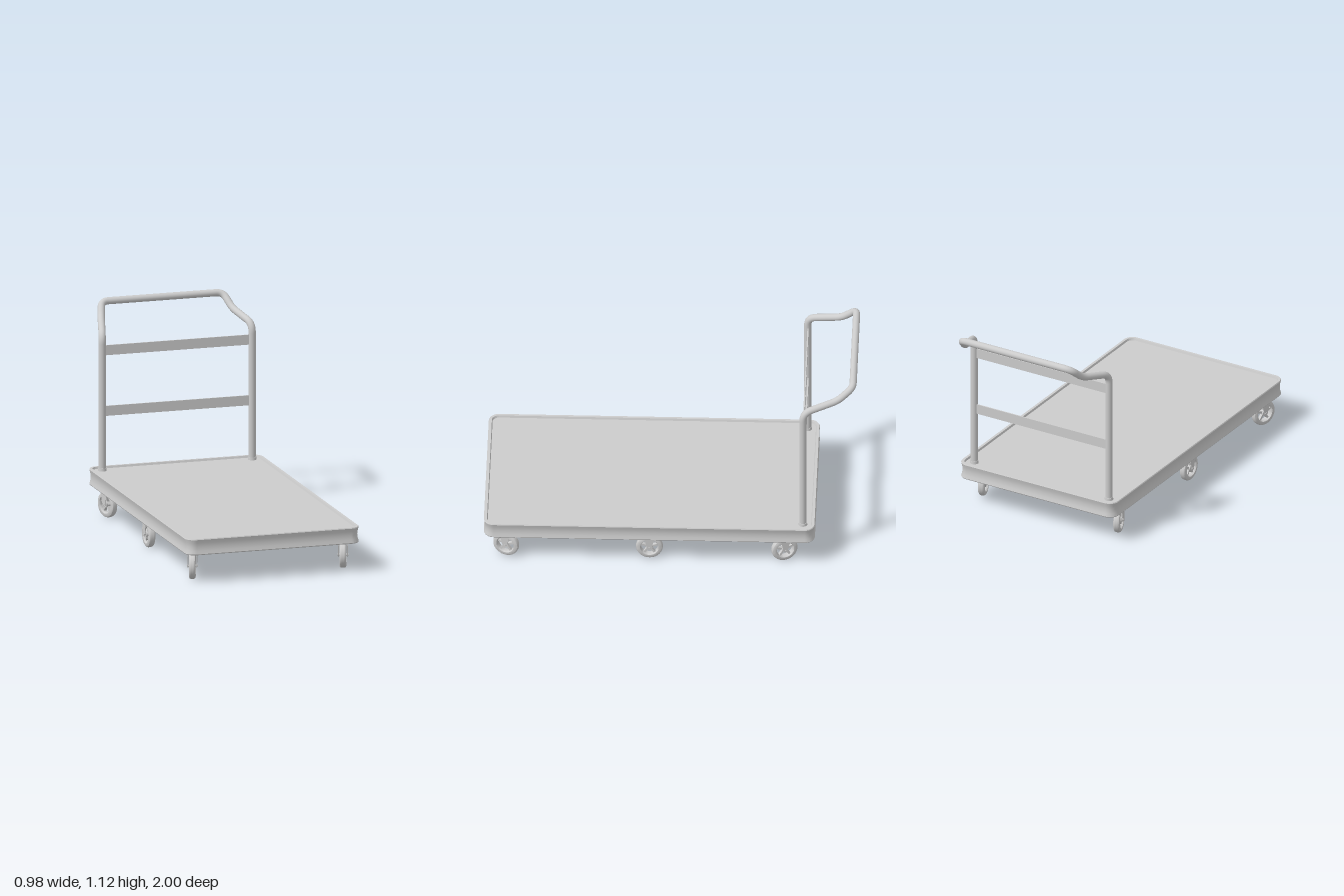
import * as THREE from 'three';
import { toCreasedNormals } from 'three/addons/utils/BufferGeometryUtils.js';

const grey = new THREE.MeshStandardMaterial({ color: 0xcccccc });

function mesh(name, geometry, x = 0, y = 0, z = 0) {
  const m = new THREE.Mesh(geometry, grey);
  m.name = name;
  m.position.set(x, y, z);
  return m;
}

// Rounded-rectangle loops stacked along a profile of [inset, y], capped at both ends
function deckGeometry(halfX, halfZ, radius, profile) {
  const steps = 10, ring = 4 * (steps + 1), pos = [], idx = [];
  for (const [inset, y] of profile) {
    for (let c = 0; c < 4; c++) {
      const cx = (c === 0 || c === 3 ? 1 : -1) * (halfX - radius);
      const cz = (c < 2 ? 1 : -1) * (halfZ - radius);
      for (let s = 0; s <= steps; s++) {
        const t = (c + s / steps) * Math.PI / 2;
        pos.push(cx + (radius - inset) * Math.cos(t), y, cz + (radius - inset) * Math.sin(t));
      }
    }
  }
  const last = profile.length - 1, bottom = profile.length * ring, top = bottom + 1;
  pos.push(0, profile[0][1], 0, 0, profile[last][1], 0);
  for (let i = 0; i < ring; i++) {
    const j = (i + 1) % ring;
    for (let r = 0; r < last; r++) {
      const a = r * ring + i, b = r * ring + j;
      idx.push(a, a + ring, b, b, a + ring, b + ring);
    }
    idx.push(bottom, i, j, top, last * ring + j, last * ring + i);
  }
  const g = new THREE.BufferGeometry();
  g.setAttribute('position', new THREE.Float32BufferAttribute(pos, 3));
  g.setIndex(idx);
  return toCreasedNormals(g, 0.6);
}

// Polyline with rounded corners
function roundedPath(points, radii) {
  const path = new THREE.CurvePath();
  let from = points[0];
  for (let i = 1; i < points.length - 1; i++) {
    const p = points[i], r = radii[i - 1];
    const a = p.clone().add(points[i - 1].clone().sub(p).setLength(r));
    const b = p.clone().add(points[i + 1].clone().sub(p).setLength(r));
    path.add(new THREE.LineCurve3(from, a));
    path.add(new THREE.QuadraticBezierCurve3(a, p, b));
    from = b;
  }
  path.add(new THREE.LineCurve3(from, points[points.length - 1]));
  return path;
}

// Spoked wheel turning about the x axis
function createWheel() {
  const wheel = new THREE.Group();
  wheel.name = 'wheel';
  const w = 0.018;
  const profile = [[0.05, -w], [0.063, -w], [0.069, -0.014], [0.072, -0.006], [0.072, 0.006],
    [0.069, 0.014], [0.063, w], [0.05, w], [0.046, 0.012], [0.046, -0.012], [0.05, -w]]
    .map(([r, y]) => new THREE.Vector2(r, y));
  const tyre = toCreasedNormals(new THREE.LatheGeometry(profile, 40), 0.6).rotateZ(Math.PI / 2);
  wheel.add(mesh('tyre', tyre));
  wheel.add(mesh('hub', new THREE.CylinderGeometry(0.016, 0.016, 0.034, 20).rotateZ(Math.PI / 2)));
  for (let i = 0; i < 5; i++) {
    const spoke = mesh('spoke', new THREE.BoxGeometry(0.018, 0.036, 0.011).translate(0, 0.031, 0));
    spoke.rotation.x = i * Math.PI * 2 / 5;
    wheel.add(spoke);
  }
  return wheel;
}

// Mounting plate with a swivelling fork and wheel
function createCaster(x, z, turn) {
  const caster = new THREE.Group();
  caster.name = 'caster';
  caster.position.set(x, 0, z);
  caster.add(mesh('mountingPlate', new THREE.BoxGeometry(0.08, 0.006, 0.115), 0, 0.153, 0));

  const swivel = new THREE.Group();
  swivel.name = 'swivel';
  swivel.rotation.y = turn;
  swivel.add(mesh('forkCrown', new THREE.BoxGeometry(0.052, 0.006, 0.054), 0, 0.148, 0));

  const leg = new THREE.Shape();
  leg.moveTo(-0.027, 0.15);
  leg.lineTo(-0.025, 0.125);
  leg.lineTo(-0.011, 0.072);
  leg.absarc(0, 0.072, 0.011, Math.PI, Math.PI * 2, false);
  leg.lineTo(0.025, 0.125);
  leg.lineTo(0.027, 0.15);
  const legGeometry = new THREE.ExtrudeGeometry(leg, { depth: 0.004, bevelEnabled: false, curveSegments: 8 })
    .translate(0, 0, -0.002).rotateY(Math.PI / 2);
  for (const side of [-1, 1]) swivel.add(mesh('forkLeg', legGeometry, side * 0.024, 0, 0));

  swivel.add(mesh('axle', new THREE.CylinderGeometry(0.006, 0.006, 0.058, 12).rotateZ(Math.PI / 2), 0, 0.072, 0));
  const wheel = createWheel();
  wheel.position.y = 0.072;
  swivel.add(wheel);
  caster.add(swivel);
  return caster;
}

export function createModel() {
  const model = new THREE.Group();
  model.name = 'platformTrolley';

  // Deck with hollowed sides and a raised lip
  model.add(mesh('deck', deckGeometry(0.49, 0.89, 0.055, [
    [0.003, 0.156], [0, 0.161], [0.005, 0.178], [0.008, 0.2], [0.005, 0.222], [0, 0.24],
    [0.003, 0.245], [0.017, 0.245], [0.021, 0.234],
  ]), 0, 0, 0.11));

  // Bent push handle: two posts and the rear grip in one tube
  const half = [[0.423, 0.22, -0.715], [0.423, 0.985, -0.715], [0.37, 1.033, -0.9], [0.343, 1.103, -0.981]];
  const points = [
    ...half.map(([x, y, z]) => new THREE.Vector3(x, y, z)),
    ...half.slice().reverse().map(([x, y, z]) => new THREE.Vector3(-x, y, z)),
  ];
  const path = roundedPath(points, [0.05, 0.035, 0.04, 0.04, 0.035, 0.05]);
  model.add(mesh('handle', new THREE.TubeGeometry(path, 300, 0.0195, 20)));

  // Flat cross rails and post collars
  for (const y of [0.562, 0.897]) {
    model.add(mesh('crossRail', new THREE.BoxGeometry(0.83, 0.055, 0.007), 0, y, -0.717));
  }
  for (const side of [-1, 1]) {
    model.add(mesh('postCollar', new THREE.CylinderGeometry(0.022, 0.024, 0.018, 24), side * 0.423, 0.24, -0.715));
  }

  // Three pairs of casters: [z, swivel angle]
  for (const [z, turn] of [[0.88, -0.33], [0.11, 0], [-0.615, 0.33]]) {
    for (const side of [-1, 1]) model.add(createCaster(side * 0.425, z, turn));
  }
  return model;
}
